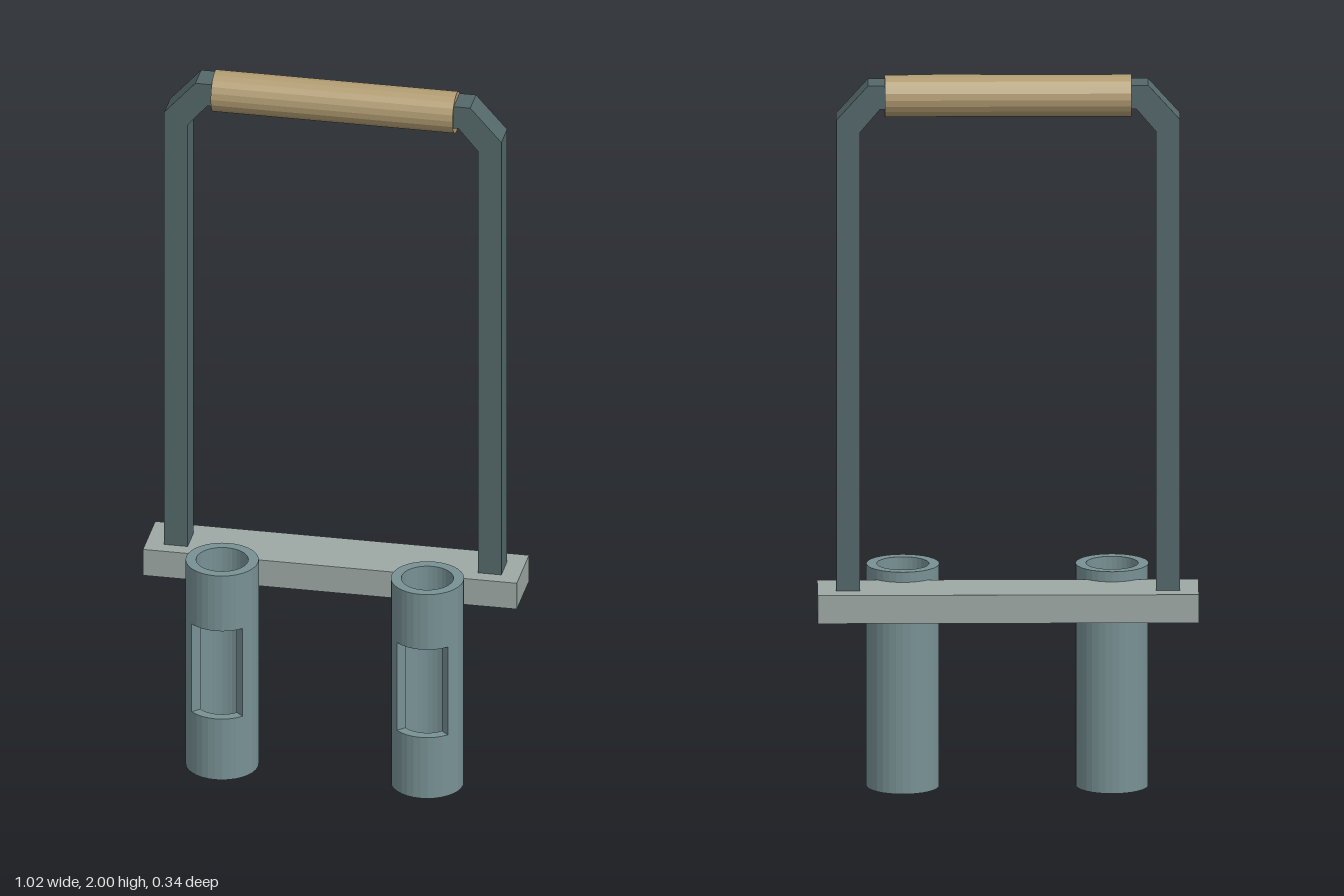
import * as THREE from 'three';

const paint = (color) => new THREE.MeshStandardMaterial({ color, flatShading: true });

function addMesh(parent, name, geometry, material, x = 0, y = 0, z = 0) {
  const mesh = new THREE.Mesh(geometry, material);
  mesh.name = name;
  mesh.position.set(x, y, z);
  parent.add(mesh);
  return mesh;
}

const OUTER = 0.098, INNER = 0.07;

// Upright full ring, standing on y = 0
function ringGeometry(height) {
  const shape = new THREE.Shape().absarc(0, 0, OUTER, 0, Math.PI * 2, false);
  shape.holes.push(new THREE.Path().absarc(0, 0, INNER, 0, Math.PI * 2, true));
  return new THREE.ExtrudeGeometry(shape, { depth: height, bevelEnabled: false, curveSegments: 16 })
    .rotateX(-Math.PI / 2);
}

// Ring with a quarter left open towards the front
function openRingGeometry(height) {
  const a = -Math.PI / 4, b = Math.PI * 1.25;
  const shape = new THREE.Shape();
  shape.absarc(0, 0, OUTER, a, b, false);
  shape.absarc(0, 0, INNER, b, a, true);
  shape.closePath();
  return new THREE.ExtrudeGeometry(shape, { depth: height, bevelEnabled: false, curveSegments: 12 })
    .rotateX(-Math.PI / 2);
}

export function createModel() {
  const model = new THREE.Group();
  model.name = 'twinTubeHandTool';
  const frameMat = paint(0x54686a);
  const tubeMat = paint(0x789194);
  const plateMat = paint(0x9da8a4);
  const gripMat = paint(0xb19c72);

  // Cross plate joining tubes and handle
  addMesh(model, 'crossPlate', new THREE.BoxGeometry(1.02, 0.078, 0.168), plateMat, 0, 0.546, -0.084);

  // Coring tubes with a front window
  const low = 0.183, high = 0.447, top = 0.613;
  for (const side of [-1, 1]) {
    const tube = new THREE.Group();
    tube.name = side > 0 ? 'leftTube' : 'rightTube';
    tube.position.set(side * 0.28, 0, 0.07);
    addMesh(tube, 'tubeBottom', ringGeometry(low), tubeMat);
    addMesh(tube, 'tubeWindow', openRingGeometry(high - low), tubeMat, 0, low);
    addMesh(tube, 'tubeTop', ringGeometry(top - high), tubeMat, 0, high);
    model.add(tube);
  }

  // Handle frame: one bent square bar with chamfered corners
  const outer = [[0.46, 0.58], [0.46, 1.885], [0.375, 1.98]];
  const inner = [[0.396, 0.58], [0.396, 1.852], [0.343, 1.915]];
  const mirror = (points) => points.map(([x, y]) => [-x, y]);
  const outline = [
    ...outer, ...mirror(outer).reverse(),
    ...mirror(inner), ...[...inner].reverse(),
  ].map(([x, y]) => new THREE.Vector2(x, y));
  const frame = new THREE.ExtrudeGeometry(new THREE.Shape(outline), { depth: 0.08, bevelEnabled: false });
  addMesh(model, 'handleFrame', frame, frameMat, 0, 0, -0.12);

  // Wooden grip around the top bar
  const grip = new THREE.CylinderGeometry(0.057, 0.057, 0.66, 20).rotateZ(Math.PI / 2);
  addMesh(model, 'grip', grip, gripMat, 0, 1.943, -0.08);

  return model;
}
